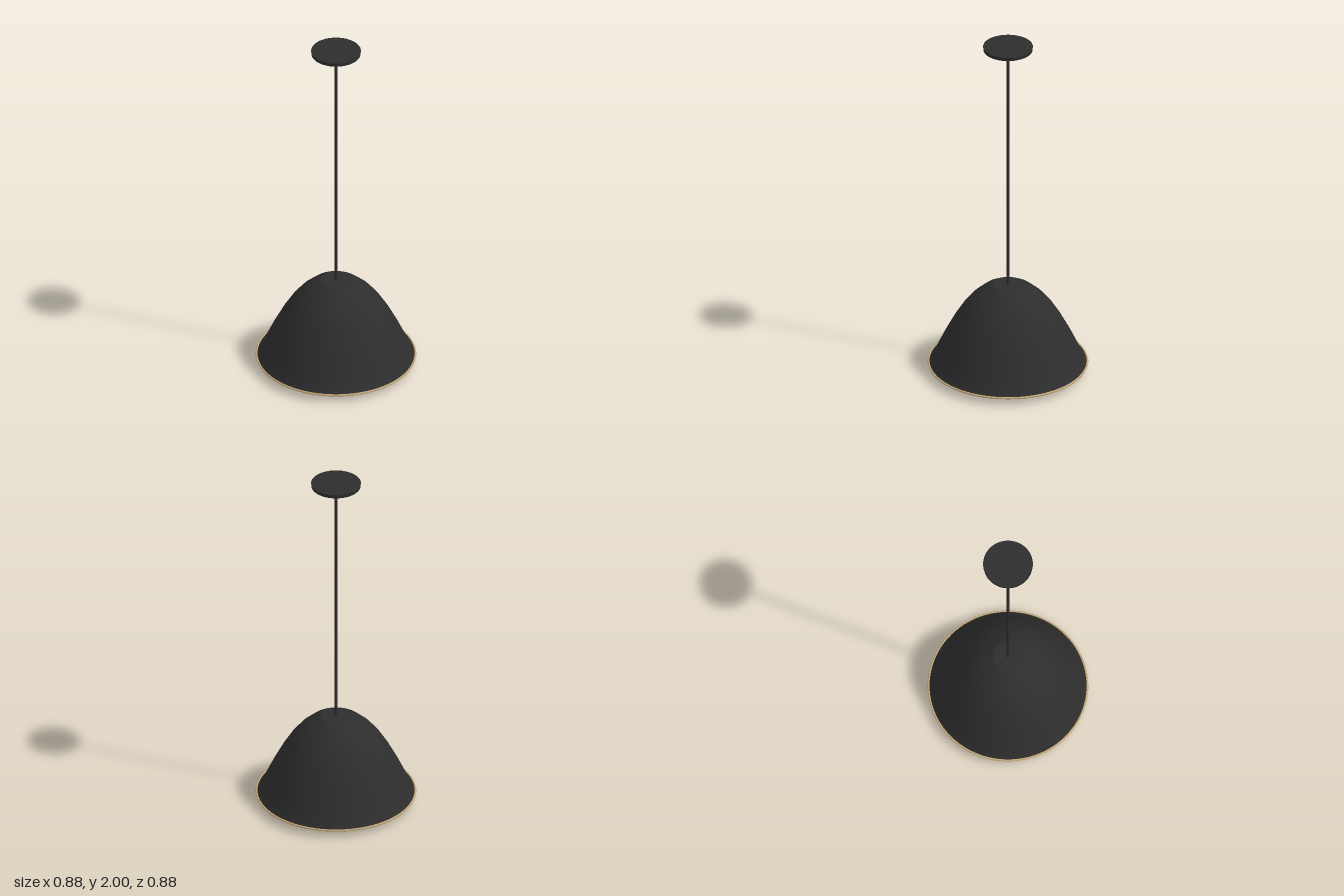
import * as THREE from 'three';

const material = (name, color, side = THREE.FrontSide) => {
  const m = new THREE.MeshStandardMaterial({ color, side });
  m.name = name;
  return m;
};

export function createModel() {
  const group = new THREE.Group();
  const black = material('matte black', 0x2d2d2d);
  const cream = material('cream lining', 0xe6e1d4);
  const brass = material('brass', 0xc4a878);
  const amber = material('warm bulb', 0xe2c796);

  const add = (name, geometry, mat, y = 0) => {
    const mesh = new THREE.Mesh(geometry, mat);
    mesh.name = name;
    mesh.position.y = y;
    group.add(mesh);
    return mesh;
  };
  // Each run of points is smooth; separate runs meet at a sharp edge.
  const turn = (name, points, mat) =>
    add(name, new THREE.LatheGeometry(points.map(([r, y]) => new THREE.Vector2(r, y)), 64), mat);
  const disc = (name, radius, y, mat, up = true) => {
    add(name, new THREE.CircleGeometry(radius, 64), mat, y).rotation.x = up ? -Math.PI / 2 : Math.PI / 2;
  };

  // Bell shade, listed from the flared rim up
  const profile = [
    [0.436, 0.04], [0.42, 0.055], [0.395, 0.105], [0.35, 0.2], [0.3, 0.295],
    [0.25, 0.375], [0.2, 0.435], [0.14, 0.488], [0.085, 0.519],
  ];
  turn('shadeOuter', profile, black);
  disc('shadeTop', 0.085, 0.519, black);

  // Pale lining, just inside the shade and facing inwards
  const lining = profile.map(([r, y], i) => [r - 0.005, i ? y - 0.005 : y]).reverse();
  turn('shadeLining', lining, cream);
  disc('liningTop', 0.08, 0.514, cream, false);

  // Rim trim
  const rim = add('rimTrim', new THREE.TorusGeometry(0.436, 0.006, 8, 96), brass, 0.04);
  rim.rotation.x = Math.PI / 2;

  // Bulb and its socket
  turn('bulbTip', [[0, 0], [0.04, 0.006], [0.075, 0.05]], amber);
  turn('bulbBody', [
    [0.075, 0.05], [0.087, 0.105], [0.09, 0.155], [0.083, 0.215], [0.063, 0.285], [0.045, 0.34],
  ], amber);
  add('socket', new THREE.CylinderGeometry(0.05, 0.05, 0.18, 32), black, 0.425);

  // Hanging rod
  add('rod', new THREE.CylinderGeometry(0.008, 0.008, 1.45, 16), black, 1.235);

  // Ceiling canopy
  disc('canopyBase', 0.04, 1.945, black, false);
  turn('canopyCone', [[0.04, 1.945], [0.135, 1.98]], black);
  turn('canopyEdge', [[0.135, 1.98], [0.137, 2]], black);
  disc('canopyTop', 0.137, 2, black);

  return group;
}
